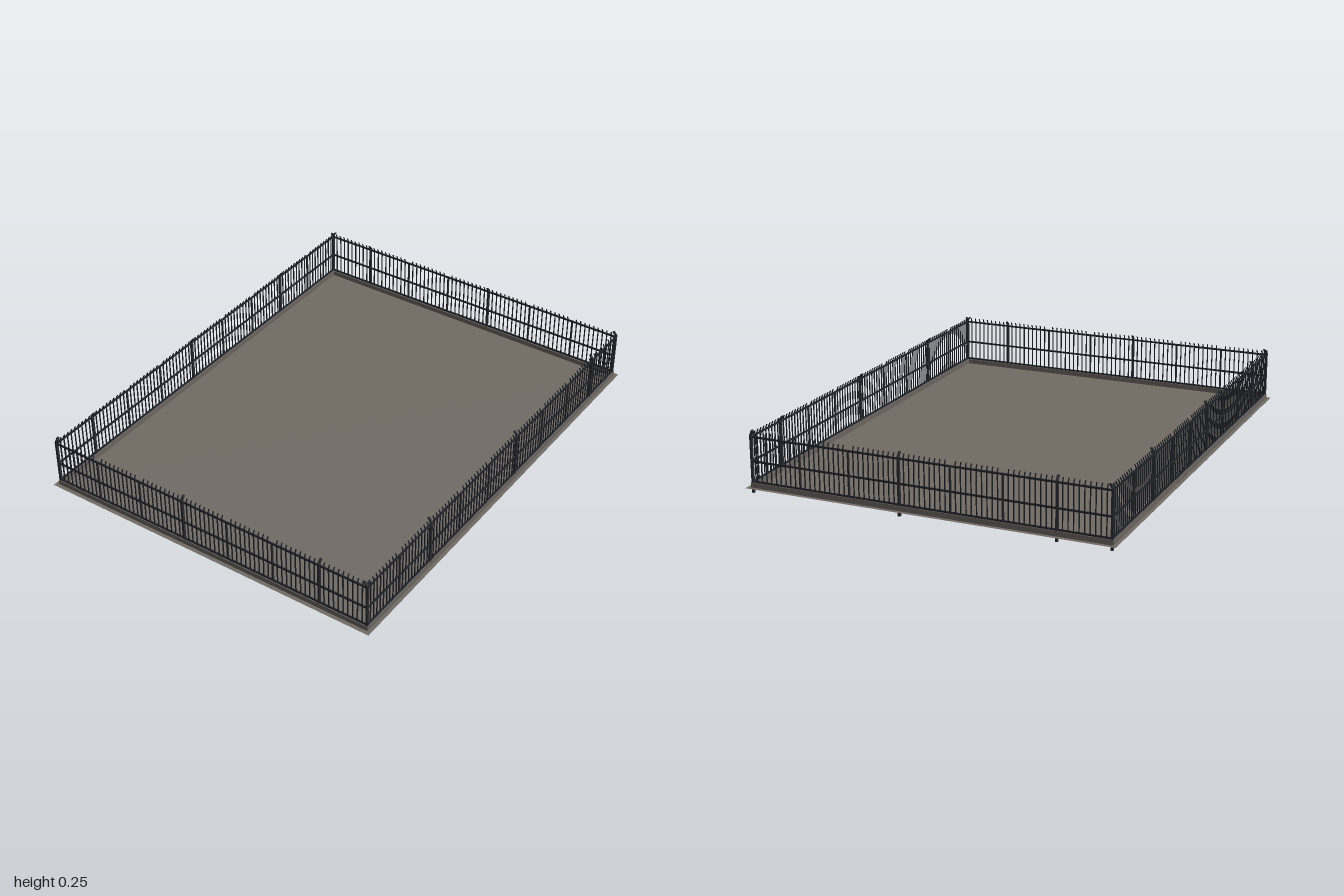
import * as THREE from 'three';
import { mergeGeometries } from 'three/addons/utils/BufferGeometryUtils.js';

const HALF_X = 0.753, HALF_Z = 0.976; // fence lines
const FLOOR_Y = 0.022, KERB_TOP = 0.043, TOP = 0.25;

function material(name, color) {
  const m = new THREE.MeshStandardMaterial({ color });
  m.name = name;
  return m;
}

// Box spanning y0..y1, centred on x and z
function bar(x, y0, y1, z, w, d) {
  return new THREE.BoxGeometry(w, y1 - y0, d).translate(x, (y0 + y1) / 2, z);
}

// Short tip that leans inwards (+z) from the top of an upright
function leaningTip(x, y0, y1, lean, w) {
  const g = new THREE.BoxGeometry(w, y1 - y0, w).translate(x, (y0 + y1) / 2, 0);
  const p = g.attributes.position;
  for (let i = 0; i < p.count; i++) {
    p.setZ(i, p.getZ(i) + lean * (p.getY(i) - y0) / (y1 - y0));
  }
  g.computeVertexNormals();
  return g;
}

// One fence run along x, inside facing +z, with units of equal width
function createFence(halfLength, units, mats) {
  const fence = new THREE.Group();
  const unit = (2 * halfLength) / units;
  const posts = [], braces = [], pickets = [], rails = [];

  for (let i = 0; i <= units; i++) {
    const x = -halfLength + i * unit;
    const corner = i === 0 || i === units;
    if (corner || i % 3 === 1) {
      posts.push(bar(x, 0, 0.238, 0, 0.01, 0.01), leaningTip(x, 0.238, 0.254, 0.012, 0.009));
    } else {
      braces.push(bar(x, KERB_TOP, 0.234, 0, 0.007, 0.007));
    }
    if (i === units) break;
    for (let k = 1; k < 10; k++) {
      const px = x + (k * unit) / 10;
      pickets.push(bar(px, KERB_TOP, 0.236, 0, 0.004, 0.004), leaningTip(px, 0.236, TOP, 0.006, 0.004));
    }
  }
  for (const y of [0.046, 0.13, 0.23]) {
    rails.push(bar(0, y - 0.0035, y + 0.0035, 0, 2 * halfLength, 0.006));
  }

  const parts = [
    ['posts', posts, mats.post], ['braces', braces, mats.post],
    ['pickets', pickets, mats.picket], ['rails', rails, mats.picket],
  ];
  for (const [name, geos, mat] of parts) {
    const mesh = new THREE.Mesh(mergeGeometries(geos), mat);
    mesh.name = name;
    fence.add(mesh);
  }
  return fence;
}

export function createModel() {
  const model = new THREE.Group();
  model.name = 'fencedYard';
  const mats = {
    floor: material('earth brown', 0x726b64),
    kerb: material('kerb grey', 0x69645f),
    post: material('post charcoal', 0x2a2c32),
    picket: material('picket black', 0x20232b),
  };
  mats.floor.side = THREE.DoubleSide;

  // Thin ground sheet, a little wider than the kerb
  const floor = new THREE.Mesh(new THREE.PlaneGeometry(1.55, 2), mats.floor);
  floor.rotation.x = -Math.PI / 2;
  floor.position.y = FLOOR_Y;
  floor.name = 'floor';
  model.add(floor);

  // Kerb ring under the fence
  const rect = (path, a, b) => path
    .moveTo(-a, -b).lineTo(a, -b).lineTo(a, b).lineTo(-a, b).closePath();
  const ring = new THREE.Shape();
  rect(ring, HALF_X + 0.007, HALF_Z + 0.007);
  const hole = new THREE.Path();
  rect(hole, HALF_X - 0.009, HALF_Z - 0.009);
  ring.holes.push(hole);
  const kerbGeo = new THREE.ExtrudeGeometry(ring, { depth: KERB_TOP - 0.02, bevelEnabled: false });
  const kerb = new THREE.Mesh(kerbGeo.rotateX(-Math.PI / 2), mats.kerb);
  kerb.position.y = 0.02;
  kerb.name = 'kerb';
  model.add(kerb);

  // Four fence runs; opposite runs are half-turn copies
  const sides = [
    ['backFence', HALF_X, 7, 0, 0, -HALF_Z],
    ['frontFence', HALF_X, 7, Math.PI, 0, HALF_Z],
    ['leftFence', HALF_Z, 9, -Math.PI / 2, HALF_X, 0],
    ['rightFence', HALF_Z, 9, Math.PI / 2, -HALF_X, 0],
  ];
  for (const [name, half, units, turn, x, z] of sides) {
    const fence = createFence(half, units, mats);
    fence.name = name;
    fence.rotation.y = turn;
    fence.position.set(x, 0, z);
    model.add(fence);
  }
  return model;
}
